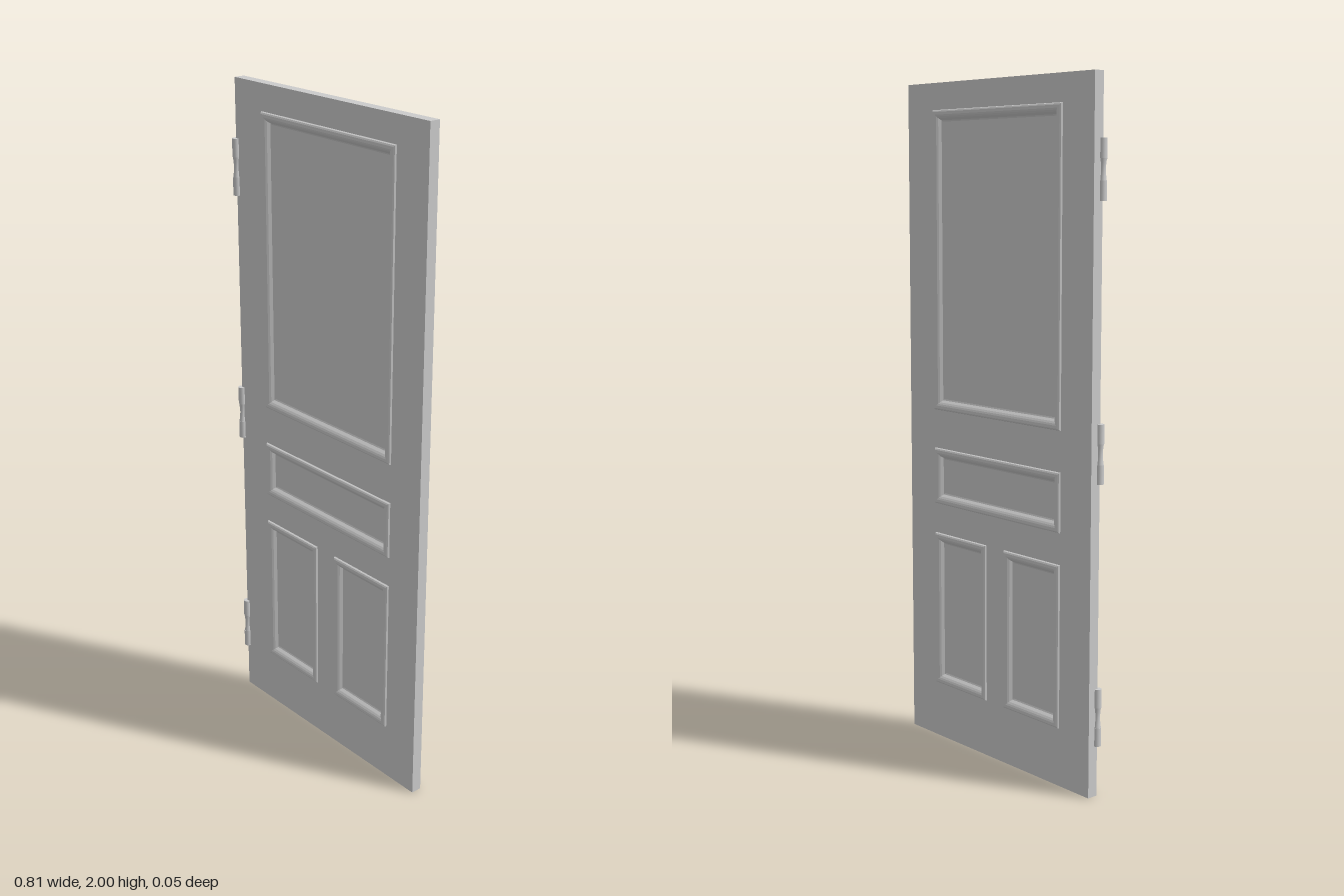
import * as THREE from 'three';

const LEFT = -0.393, RIGHT = 0.402, BACK = -0.018, FRONT = 0.0145, HEIGHT = 2;

// Outer edges of each panel moulding: x0, x1, y0, y1
const PANELS = {
  top: [-0.272, 0.283, 1.032, 1.922],
  middle: [-0.272, 0.283, 0.742, 0.915],
  lowerRight: [-0.272, -0.034, 0.172, 0.651],
  lowerLeft: [0.045, 0.283, 0.172, 0.651],
};

// Moulding section: inset from the outer edge, height above the door face
const PROFILE = [
  [0, 0], [0.002, 0.005], [0.006, 0.0075], [0.014, 0.0075],
  [0.019, 0.005], [0.024, 0.001], [0.03, -0.007], [0.034, -0.009],
];
const INSET = 0.034, RECESS = 0.009;

const material = new THREE.MeshStandardMaterial({ color: 0xcccccc });

function add(group, geometry, name) {
  const mesh = new THREE.Mesh(geometry, material);
  mesh.name = name;
  group.add(mesh);
  return mesh;
}

// Sweeps the moulding section around a rectangle with mitred corners
function mouldingGeometry([x0, x1, y0, y1]) {
  const ring = ([d, h]) => [
    [x0 + d, y0 + d, h], [x1 - d, y0 + d, h], [x1 - d, y1 - d, h], [x0 + d, y1 - d, h],
  ];
  const positions = [];
  for (let i = 0; i < PROFILE.length - 1; i++) {
    const outer = ring(PROFILE[i]), inner = ring(PROFILE[i + 1]);
    for (let s = 0; s < 4; s++) {
      const n = (s + 1) % 4;
      for (const p of [outer[s], outer[n], inner[n], outer[s], inner[n], inner[s]]) positions.push(...p);
    }
  }
  const geometry = new THREE.BufferGeometry();
  geometry.setAttribute('position', new THREE.Float32BufferAttribute(positions, 3));
  geometry.computeVertexNormals();
  return geometry;
}

// Slab with an opening for each panel
function slabGeometry() {
  const shape = new THREE.Shape();
  shape.moveTo(LEFT, 0).lineTo(RIGHT, 0).lineTo(RIGHT, HEIGHT).lineTo(LEFT, HEIGHT).closePath();
  for (const [x0, x1, y0, y1] of Object.values(PANELS)) {
    const d = 0.001;
    const hole = new THREE.Path();
    hole.moveTo(x0 + d, y0 + d).lineTo(x0 + d, y1 - d).lineTo(x1 - d, y1 - d).lineTo(x1 - d, y0 + d).closePath();
    shape.holes.push(hole);
  }
  return new THREE.ExtrudeGeometry(shape, { depth: FRONT - BACK, bevelEnabled: false }).translate(0, 0, BACK);
}

// Two knuckles joined by a waisted middle
function addHinge(group, y) {
  const hinge = new THREE.Group();
  hinge.name = 'hinge';
  hinge.position.set(-0.3925, y, 0.0152);
  const r = 0.0115;
  for (const side of [-1, 1]) {
    const knuckle = add(hinge, new THREE.CylinderGeometry(r, r, 0.054, 20), 'hingeKnuckle');
    knuckle.position.y = side * 0.056;
  }
  const waist = [[0.0105, -0.029], [0.009, -0.018], [0.0075, 0], [0.009, 0.018], [0.0105, 0.029]];
  add(hinge, new THREE.LatheGeometry(waist.map(([x, h]) => new THREE.Vector2(x, h)), 20), 'hingePin');
  group.add(hinge);
}

export function createModel() {
  const door = new THREE.Group();
  door.name = 'door';
  add(door, slabGeometry(), 'doorSlab');

  for (const [name, rect] of Object.entries(PANELS)) {
    const [x0, x1, y0, y1] = rect;
    // Thin recessed board
    const board = new THREE.BoxGeometry(x1 - x0 - 2 * INSET, y1 - y0 - 2 * INSET, FRONT - BACK - 2 * RECESS);
    add(door, board, name + 'Panel').position.set((x0 + x1) / 2, (y0 + y1) / 2, (FRONT + BACK) / 2);
    // Mouldings on both faces
    add(door, mouldingGeometry(rect), name + 'FrontMoulding').position.z = FRONT;
    const back = add(door, mouldingGeometry([-x1, -x0, y0, y1]), name + 'BackMoulding');
    back.rotation.y = Math.PI;
    back.position.z = BACK;
  }

  for (const y of [0.231, 0.979, 1.744]) addHinge(door, y);
  return door;
}
